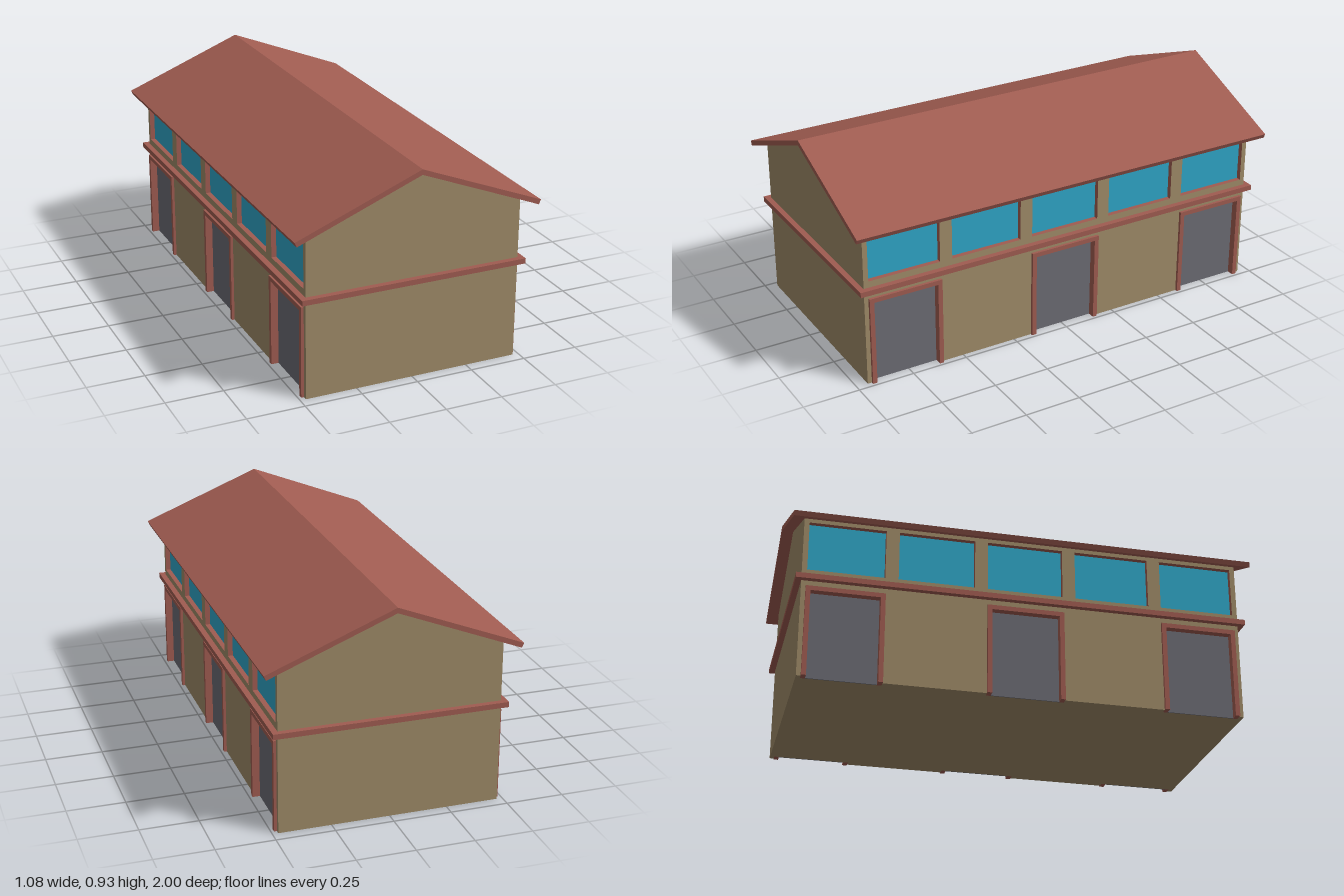
import * as THREE from 'three';

const material = (name, color) => {
  const m = new THREE.MeshStandardMaterial({ color });
  m.name = name;
  return m;
};

const polygon = (pts) => new THREE.Shape(pts.map(([x, y]) => new THREE.Vector2(x, y)));
const rect = (x0, x1, y0, y1) => polygon([[x0, y0], [x1, y0], [x1, y1], [x0, y1]]);

export function createModel() {
  const wall = material('tan wall', 0x9f8b68);
  const trim = material('red brown', 0xa05c51);
  const glass = material('blue glass', 0x2fa6c7);
  const door = material('grey door', 0x6c6c74);

  const model = new THREE.Group();
  model.name = 'house';

  const add = (parent, name, geometry, mat) => {
    const mesh = new THREE.Mesh(geometry, mat);
    mesh.name = name;
    parent.add(mesh);
    return mesh;
  };
  const extrude = (shape, depth) =>
    new THREE.ExtrudeGeometry(shape, { depth, bevelEnabled: false });
  // Side panels are drawn facing front, then turned to face +x between x0 and x1
  const sidePanel = (shape, x0, x1) =>
    extrude(shape, x1 - x0).rotateY(Math.PI / 2).translate(x0, 0, 0);

  const inner = 0.45, outer = 0.475, half = 0.95;

  // Gabled core of the house
  const core = polygon([[-inner, 0], [inner, 0], [inner, 0.727], [0, 0.906], [-inner, 0.727]]);
  add(model, 'gabledBody', extrude(core, half * 2).translate(0, 0, -half), wall);

  // Roof: bent slab with square-cut eaves
  const roof = polygon([
    [0, 0.928], [-0.542, 0.713], [-0.533, 0.693],
    [0, 0.905], [0.533, 0.693], [0.542, 0.713],
  ]);
  add(model, 'roof', extrude(roof, 2).translate(0, 0, -1), trim);

  // Belt between the storeys
  add(model, 'belt', new THREE.BoxGeometry(1, 0.023, 1.95).translate(0, 0.438, 0), trim);

  const doorCentres = [-0.765, 0, 0.765];
  const windowCentres = [-0.765, -0.3825, 0, 0.3825, 0.765];
  const hw = 0.166, doorTop = 0.4, frame = 0.02;
  const sill = 0.475, head = 0.702;

  for (const turn of [0, Math.PI]) {
    const side = new THREE.Group();
    side.name = turn ? 'rightSide' : 'leftSide';
    side.rotation.y = turn;
    model.add(side);

    // Outer wall with door notches and window openings
    const outline = [[-half, 0]];
    for (const c of doorCentres) {
      outline.push([c - hw, 0], [c - hw, doorTop], [c + hw, doorTop], [c + hw, 0]);
    }
    outline.push([half, 0], [half, 0.722], [-half, 0.722]);
    const panel = polygon(outline);
    for (const c of windowCentres) panel.holes.push(rect(c - hw, c + hw, sill, head));
    add(side, 'sideWall', sidePanel(panel, inner, outer), wall);

    // Recessed windows with red reveals
    for (const c of windowCentres) {
      const e = 0.003;
      const liner = rect(c - hw, c + hw, sill, head);
      liner.holes.push(rect(c - hw + e, c + hw - e, sill + e, head - e));
      add(side, 'windowReveal', sidePanel(liner, inner, outer), [wall, trim]);
      add(side, 'windowGlass',
        sidePanel(rect(c - hw + e, c + hw - e, sill + e, head - e), inner, inner + 0.003), glass);
    }

    // Doors set back in projecting frames
    for (const c of doorCentres) {
      const a = c - hw, b = c + hw, top = doorTop - frame;
      const surround = polygon([
        [a, 0], [a + frame, 0], [a + frame, top], [b - frame, top],
        [b - frame, 0], [b, 0], [b, doorTop], [a, doorTop],
      ]);
      add(side, 'doorFrame', sidePanel(surround, inner, 0.487), trim);
      add(side, 'doorPanel', sidePanel(rect(a + frame, b - frame, 0, top), inner, inner + 0.005), door);
    }
  }
  return model;
}
